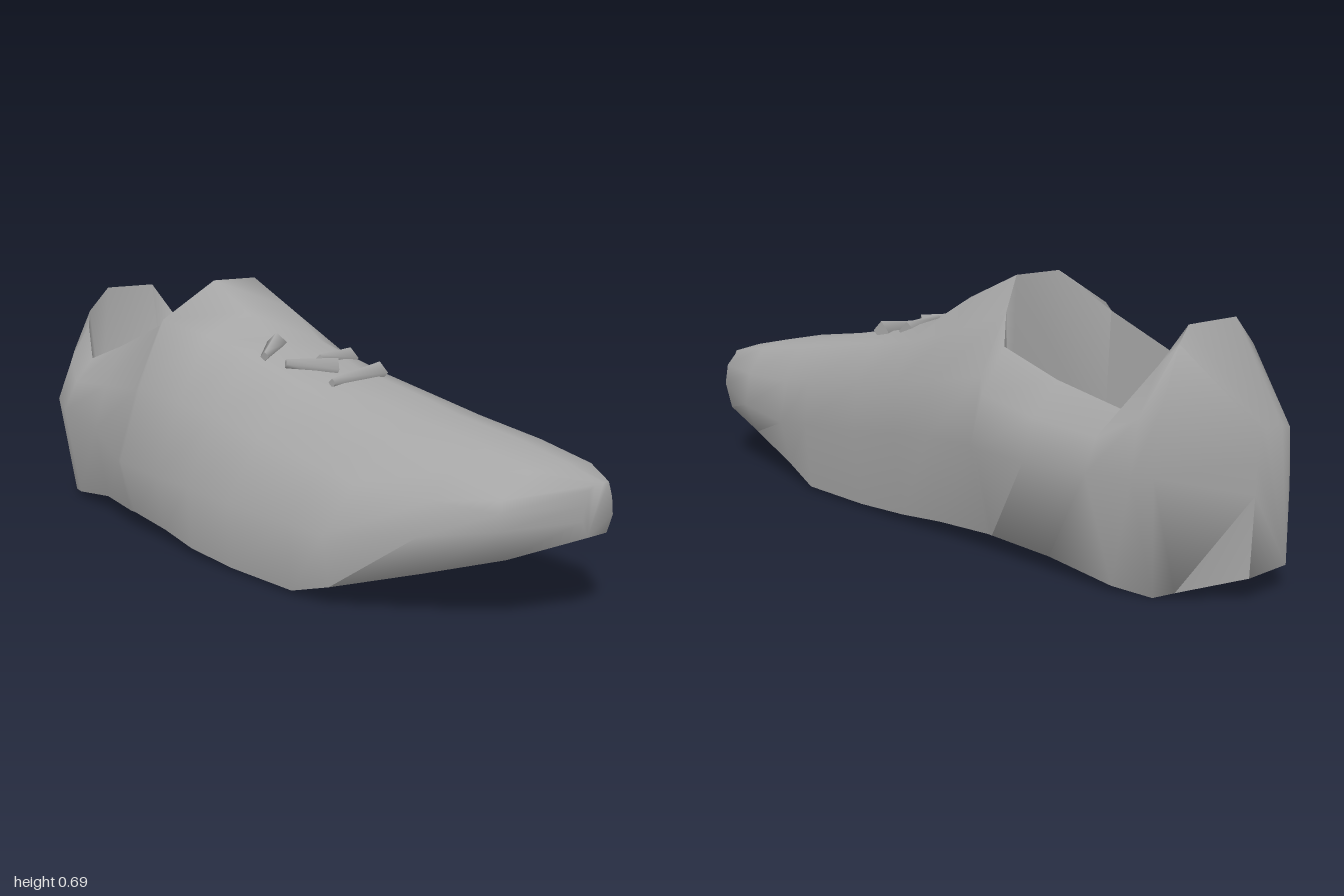
import * as THREE from 'three';
import { toCreasedNormals } from 'three/addons/utils/BufferGeometryUtils.js';

// Station: z, sole [left x, right x, y], widest left [x, y], widest right [x, y],
// upper edge left [x, y], upper edge right [x, y], middle [left x, right x, y]
const forefoot = [
  [1.0, 0.05, 0.12, 0.20, 0.03, 0.24, 0.14, 0.24, 0.05, 0.31, 0.12, 0.32, 0.07, 0.10, 0.32],
  [0.91, -0.12, 0.20, 0.16, -0.15, 0.23, 0.22, 0.24, -0.14, 0.30, 0.17, 0.34, -0.04, 0.09, 0.35],
  [0.75, -0.22, 0.21, 0.11, -0.24, 0.20, 0.25, 0.20, -0.14, 0.34, 0.18, 0.37, -0.04, 0.09, 0.385],
  [0.55, -0.33, 0.23, 0.05, -0.35, 0.18, 0.26, 0.18, -0.13, 0.38, 0.18, 0.40, -0.04, 0.09, 0.415],
  [0.42, -0.335, 0.25, 0.01, -0.348, 0.18, 0.265, 0.20, -0.12, 0.41, 0.19, 0.42, -0.03, 0.10, 0.44],
  [0.18, -0.335, 0.25, 0.01, -0.345, 0.18, 0.275, 0.22, -0.12, 0.47, 0.20, 0.46, -0.03, 0.10, 0.485],
  [0.0, -0.33, 0.25, 0.02, -0.343, 0.19, 0.28, 0.25, -0.14, 0.53, 0.22, 0.49, -0.02, 0.12, 0.54],
  [-0.15, -0.31, 0.25, 0.035, -0.34, 0.19, 0.29, 0.27, -0.16, 0.56, 0.21, 0.53, -0.02, 0.14, 0.615],
  [-0.33, -0.29, 0.25, 0.045, -0.335, 0.20, 0.305, 0.28, -0.18, 0.59, 0.185, 0.60, 0.0, 0.15, 0.69],
];
const heel = [
  [-0.35, -0.29, 0.25, 0.045, -0.33, 0.20, 0.31, 0.28, -0.18, 0.57, 0.21, 0.52, -0.16, 0.19, 0.20],
  [-0.55, -0.24, 0.25, 0.04, -0.28, 0.25, 0.342, 0.29, -0.18, 0.49, 0.23, 0.47, -0.15, 0.21, 0.19],
  [-0.74, -0.22, 0.24, 0.015, -0.268, 0.28, 0.335, 0.30, -0.165, 0.43, 0.22, 0.43, -0.14, 0.20, 0.20],
  [-0.83, -0.18, 0.20, 0.0, -0.235, 0.30, 0.285, 0.30, -0.12, 0.52, 0.20, 0.54, -0.08, 0.17, 0.24],
  [-0.87, -0.15, 0.17, 0.015, -0.20, 0.30, 0.255, 0.30, -0.09, 0.56, 0.18, 0.59, -0.02, 0.15, 0.63],
  [-1.0, -0.07, 0.07, 0.06, -0.07, 0.25, 0.06, 0.25, -0.06, 0.39, 0.05, 0.40, -0.03, 0.03, 0.40],
];

// Cross-section running from the left sole edge over the top to the right one
function section([z, bl, br, by, lx, ly, rx, ry, tlx, tly, trx, try_, cl, cr, cy]) {
  const mid = (a, b) => (a + b) / 2;
  const bulge = Math.min(0.03, (rx - lx) * 0.05);
  return [
    [bl, by], [lx, ly],
    [mid(lx, tlx) - bulge * 0.3, mid(ly, tly) + bulge * 0.3], [tlx, tly],
    [cl, cy], [cr, cy],
    [trx, try_], [mid(rx, trx) + bulge * 0.8, mid(ry, try_) + bulge * 0.4],
    [rx, ry], [br, by],
  ].map(([x, y]) => [x, y, z]);
}

// Closed skin over a row of cross-sections
function loft(stations, crease) {
  const rings = stations.map(section);
  const n = rings[0].length;
  const out = [];
  const tri = (...points) => points.forEach((p) => out.push(...p));
  for (let s = 0; s < rings.length - 1; s++) {
    for (let i = 0; i < n; i++) {
      const j = (i + 1) % n;
      const a = rings[s][i], b = rings[s][j], c = rings[s + 1][i], d = rings[s + 1][j];
      tri(a, b, c);
      tri(b, d, c);
    }
  }
  const first = rings[0], last = rings[rings.length - 1];
  for (let i = 1; i < n - 1; i++) {
    tri(first[0], first[i + 1], first[i]);
    tri(last[0], last[i], last[i + 1]);
  }
  const geometry = new THREE.BufferGeometry();
  geometry.setAttribute('position', new THREE.Float32BufferAttribute(out, 3));
  return toCreasedNormals(geometry, crease);
}

export function createModel() {
  const model = new THREE.Group();
  model.name = 'shoe';
  const grey = new THREE.MeshStandardMaterial({ color: 0xa6a6a6, side: THREE.DoubleSide });
  grey.name = 'grey';

  const add = (name, geometry) => {
    const mesh = new THREE.Mesh(geometry, grey);
    mesh.name = name;
    model.add(mesh);
    return mesh;
  };

  // Toe, vamp, tongue, foot opening with insole, and heel counter
  add('upperAndSole', loft([...forefoot, ...heel], 1.25));

  // Short crumpled lace folds on the vamp: x, y, z, length, turn, roll
  const folds = [
    [0.03, 0.475, 0.25, 0.2, 0.15, 0.03],
    [-0.04, 0.5, 0.15, 0.14, -0.5, -0.12],
    [0.08, 0.505, 0.11, 0.16, 0.3, -0.1],
    [-0.08, 0.535, 0.03, 0.12, 0.6, 0.2],
  ];
  folds.forEach(([x, y, z, length, turn, roll], i) => {
    const fold = add('laceFold' + (i + 1), new THREE.CylinderGeometry(0.012, 0.028, length, 4));
    fold.position.set(x, y, z);
    fold.rotation.set(0, turn, Math.PI / 2 + roll, 'YXZ');
  });

  return model;
}
